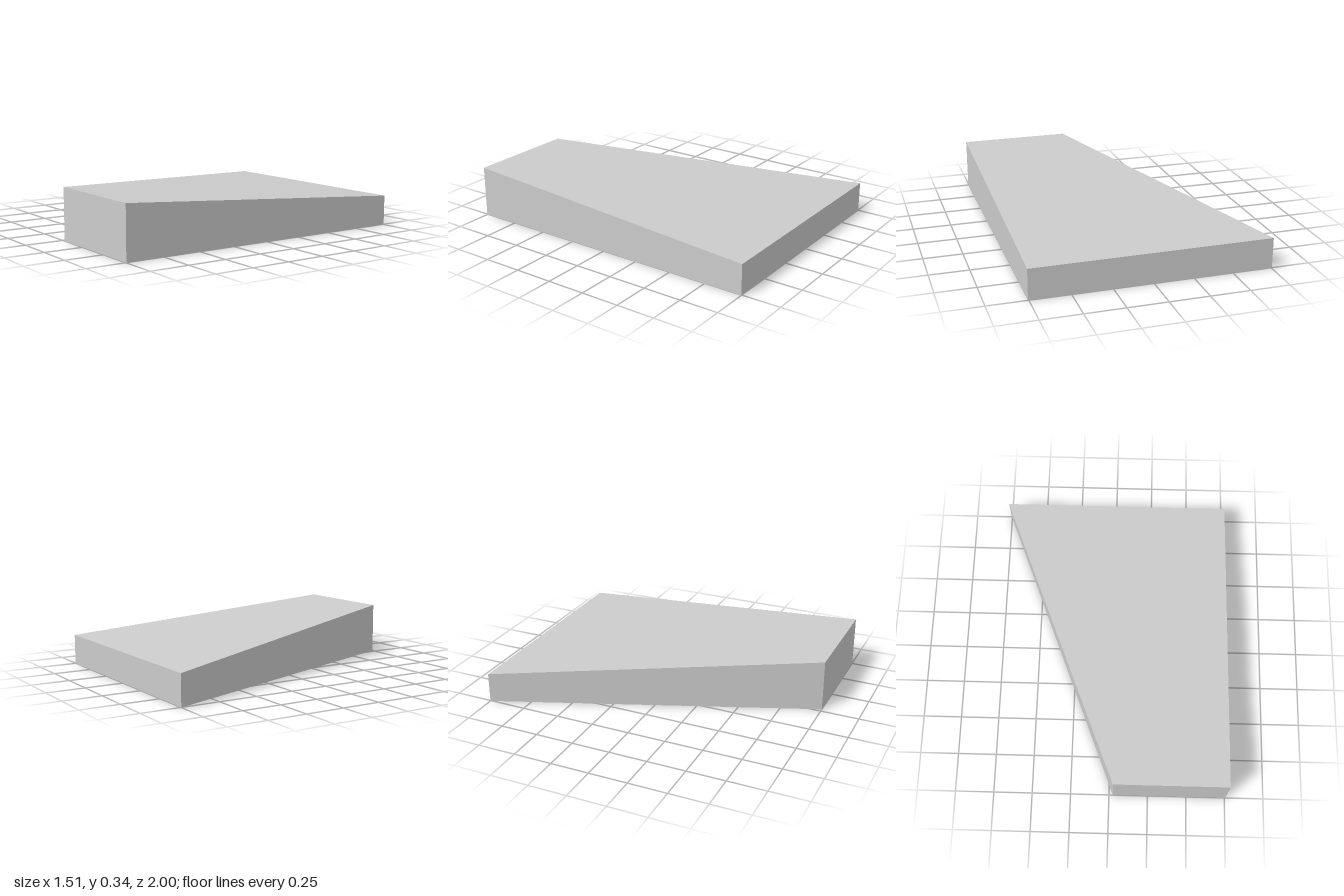
import * as THREE from 'three';

// Top surface slopes from the tall front edge down to the back edge
const topHeight = (z) => 0.265 + 0.07 * z;

export function createModel() {
  const group = new THREE.Group();
  group.name = 'taperedWedge';

  // Plan outline, drawn with shape y = -z
  const outline = new THREE.Shape([
    new THREE.Vector2(0.025, -1),
    new THREE.Vector2(0.755, -1),
    new THREE.Vector2(0.755, 1),
    new THREE.Vector2(-0.755, 1),
  ]);

  // Two vertical through holes
  for (const [x, z] of [[0.11, -0.595], [0.33, 0.44]]) {
    outline.holes.push(new THREE.Path().absarc(x, -z, 0.12, 0, Math.PI * 2, true));
  }

  // Unit-high plate, then its upper vertices are lowered onto the slope
  const geometry = new THREE.ExtrudeGeometry(outline, { depth: 1, bevelEnabled: false, curveSegments: 40 });
  geometry.rotateX(-Math.PI / 2);
  const p = geometry.attributes.position;
  for (let i = 0; i < p.count; i++) {
    p.setY(i, p.getY(i) > 0.5 ? topHeight(p.getZ(i)) : 0);
  }
  geometry.computeVertexNormals();

  const plate = new THREE.Mesh(
    geometry,
    new THREE.MeshStandardMaterial({ color: 0xcccccc, flatShading: true })
  );
  plate.name = 'drilledWedgePlate';
  group.add(plate);
  return group;
}
